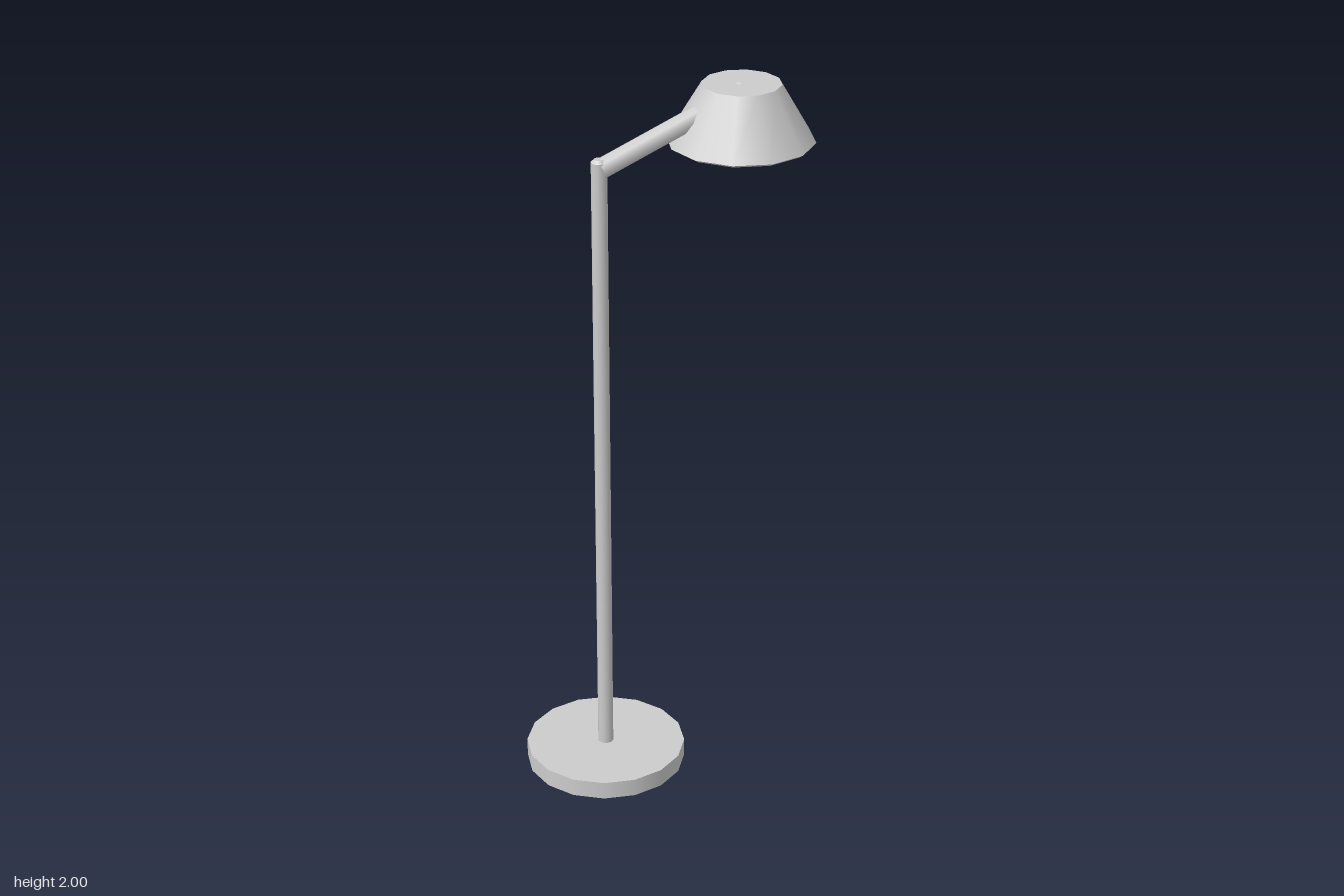
import * as THREE from 'three';

const grey = new THREE.MeshStandardMaterial({ color: 0xcccccc });
grey.name = 'light grey';

// Standing cylinder from its bottom height to its top height
function cylinder(name, topR, bottomR, y0, y1, sides, x) {
  const mesh = new THREE.Mesh(new THREE.CylinderGeometry(topR, bottomR, y1 - y0, sides), grey);
  mesh.name = name;
  mesh.position.set(x, (y0 + y1) / 2, 0);
  return mesh;
}

export function createModel() {
  const lamp = new THREE.Group();
  lamp.name = 'floorLamp';
  const poleX = -0.19, shadeX = 0.213;

  // Foot and pole, with a low cap on the pole
  lamp.add(cylinder('base', 0.227, 0.227, 0, 0.052, 16, poleX));
  lamp.add(cylinder('pole', 0.022, 0.022, 0.05, 1.832, 12, poleX));
  lamp.add(cylinder('poleCap', 0.014, 0.022, 1.832, 1.84, 12, poleX));

  // Sloping arm whose tip just breaks through the top of the shade
  const start = new THREE.Vector3(-0.186, 1.812, 0);
  const end = new THREE.Vector3(0.216, 1.9735, 0);
  const along = end.clone().sub(start);
  const armGeometry = new THREE.CylinderGeometry(0.0285, 0.0285, along.length(), 8);
  const arm = new THREE.Mesh(armGeometry, grey);
  arm.name = 'arm';
  arm.position.copy(start).add(end).multiplyScalar(0.5);
  arm.rotation.z = Math.atan2(along.y, along.x) - Math.PI / 2;
  lamp.add(arm);

  // Closed conical shade with a small bevel under its rim
  lamp.add(cylinder('shade', 0.107, 0.2, 1.838, 1.995, 12, shadeX));
  lamp.add(cylinder('shadeRim', 0.2, 0.188, 1.83, 1.838, 12, shadeX));

  return lamp;
}
